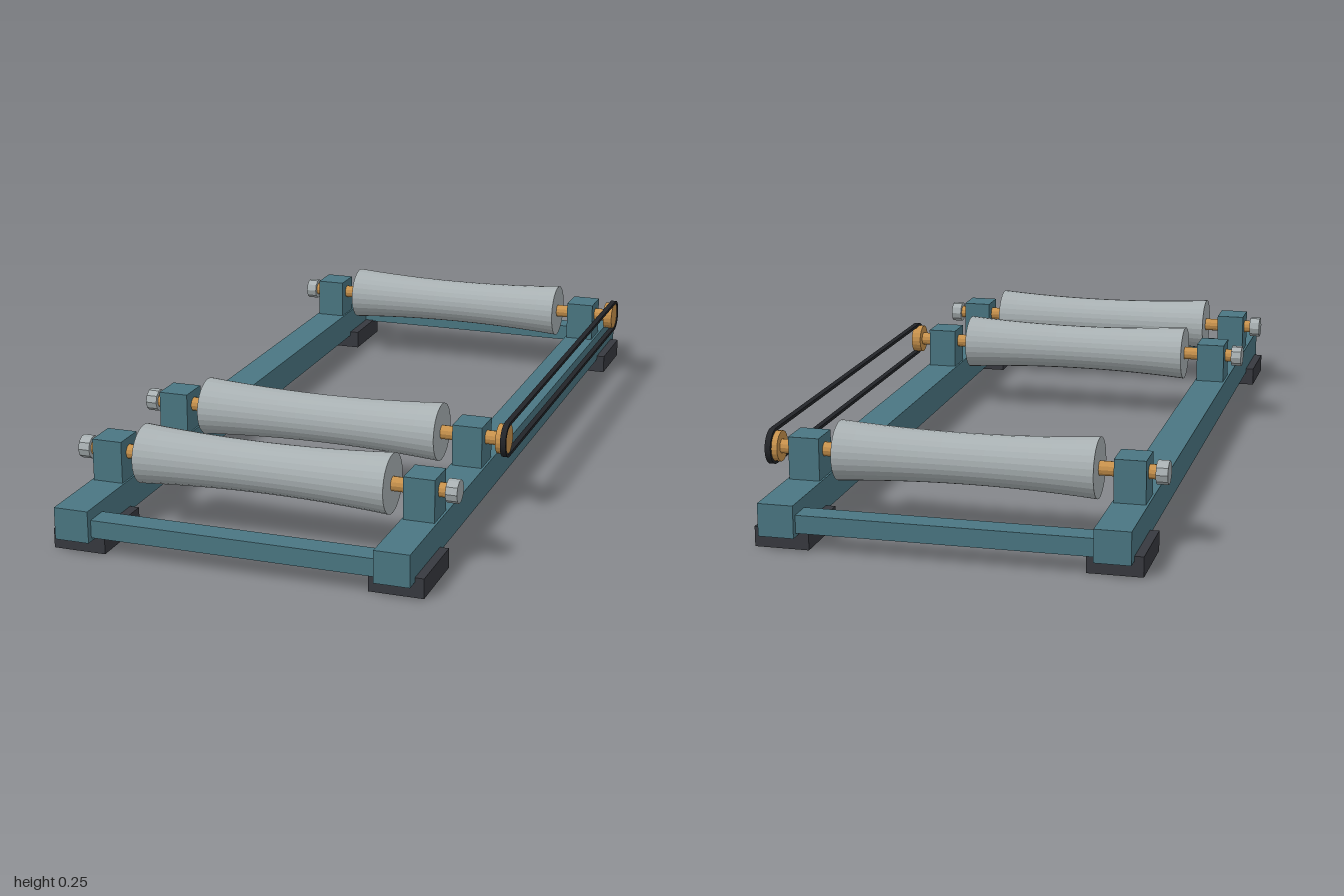
import * as THREE from 'three';

const paint = (name, color) => {
  const m = new THREE.MeshStandardMaterial({ color, flatShading: true });
  m.name = name;
  return m;
};

export function createModel() {
  const teal = paint('teal frame', 0x4a7682);
  const steel = paint('grey roller', 0xa9b1b3);
  const brass = paint('brass', 0xc8924c);
  const rubber = paint('dark rubber', 0x37393f);
  const black = paint('black belt', 0x222428);

  const model = new THREE.Group();
  model.name = 'rollerStand';
  const CX = -0.008, AXLE_Y = 0.182, RAIL_X = 0.381;

  const add = (parent, name, geo, mat, x, y, z) => {
    const m = new THREE.Mesh(geo, mat);
    m.name = name;
    m.position.set(x, y, z);
    parent.add(m);
    return m;
  };
  const box = (parent, name, mat, w, h, d, x, y, z) =>
    add(parent, name, new THREE.BoxGeometry(w, h, d), mat, x, y, z);
  // cylinder lying along x between two x positions
  const rod = (parent, name, mat, r, x0, x1, sides) =>
    add(parent, name, new THREE.CylinderGeometry(r, r, x1 - x0, sides).rotateZ(-Math.PI / 2),
      mat, (x0 + x1) / 2, 0, 0);

  // frame: side rails, cross bars and feet
  for (const s of [-1, 1]) {
    box(model, 'sideRail', teal, 0.085, 0.078, 2, CX + s * 0.389, 0.076, 0);
    box(model, 'crossBar', teal, 0.7, 0.043, 0.06, CX, 0.067, s * 0.955);
    for (const e of [-1, 1])
      box(model, 'foot', rubber, 0.13, 0.048, 0.185, CX + s * 0.388, 0.024, e * 0.873);
  }

  // concave roller profile, closed at both ends
  const profile = [new THREE.Vector2(0, -0.311)];
  for (let i = 0; i <= 12; i++) {
    const t = i / 6 - 1;
    profile.push(new THREE.Vector2(0.06 + 0.012 * t * t, 0.311 * t));
  }
  profile.push(new THREE.Vector2(0, 0.311));
  const rollerGeo = new THREE.LatheGeometry(profile, 28).rotateZ(-Math.PI / 2);

  // three axles; the two rearmost carry pulleys
  const axles = [[0.764, false], [0.387, true], [-0.764, true]];
  for (const [z, driven] of axles) {
    const axle = new THREE.Group();
    axle.name = 'axle';
    axle.position.set(0, AXLE_Y, z);
    model.add(axle);
    add(axle, 'roller', rollerGeo, steel, -0.007, 0, 0);
    rod(axle, 'shaft', brass, 0.0175, -0.455, 0.45, 12);
    rod(axle, 'endNut', steel, 0.028, -0.48, -0.452, 10);
    if (driven) rod(axle, 'pulley', brass, 0.037, 0.449, 0.474, 20);
    else rod(axle, 'endNut', steel, 0.028, 0.437, 0.465, 10);
    for (const s of [-1, 1])
      box(axle, 'bearingBlock', teal, 0.075, 0.118, 0.085, CX + s * (RAIL_X + 0.0075), -0.023, 0);
  }

  // flat belt looped around the pulleys
  const loop = (target, r) => {
    target.absarc(0.764, 0, r, -Math.PI / 2, Math.PI / 2, false);
    target.absarc(-0.387, 0, r, Math.PI / 2, Math.PI * 1.5, false);
    target.closePath();
    return target;
  };
  const beltShape = loop(new THREE.Shape(), 0.0435);
  beltShape.holes.push(loop(new THREE.Path(), 0.0355));
  const beltGeo = new THREE.ExtrudeGeometry(beltShape, { depth: 0.014, bevelEnabled: false, curveSegments: 14 });
  beltGeo.rotateY(Math.PI / 2);
  add(model, 'belt', beltGeo, black, 0.463, AXLE_Y, 0);

  return model;
}
